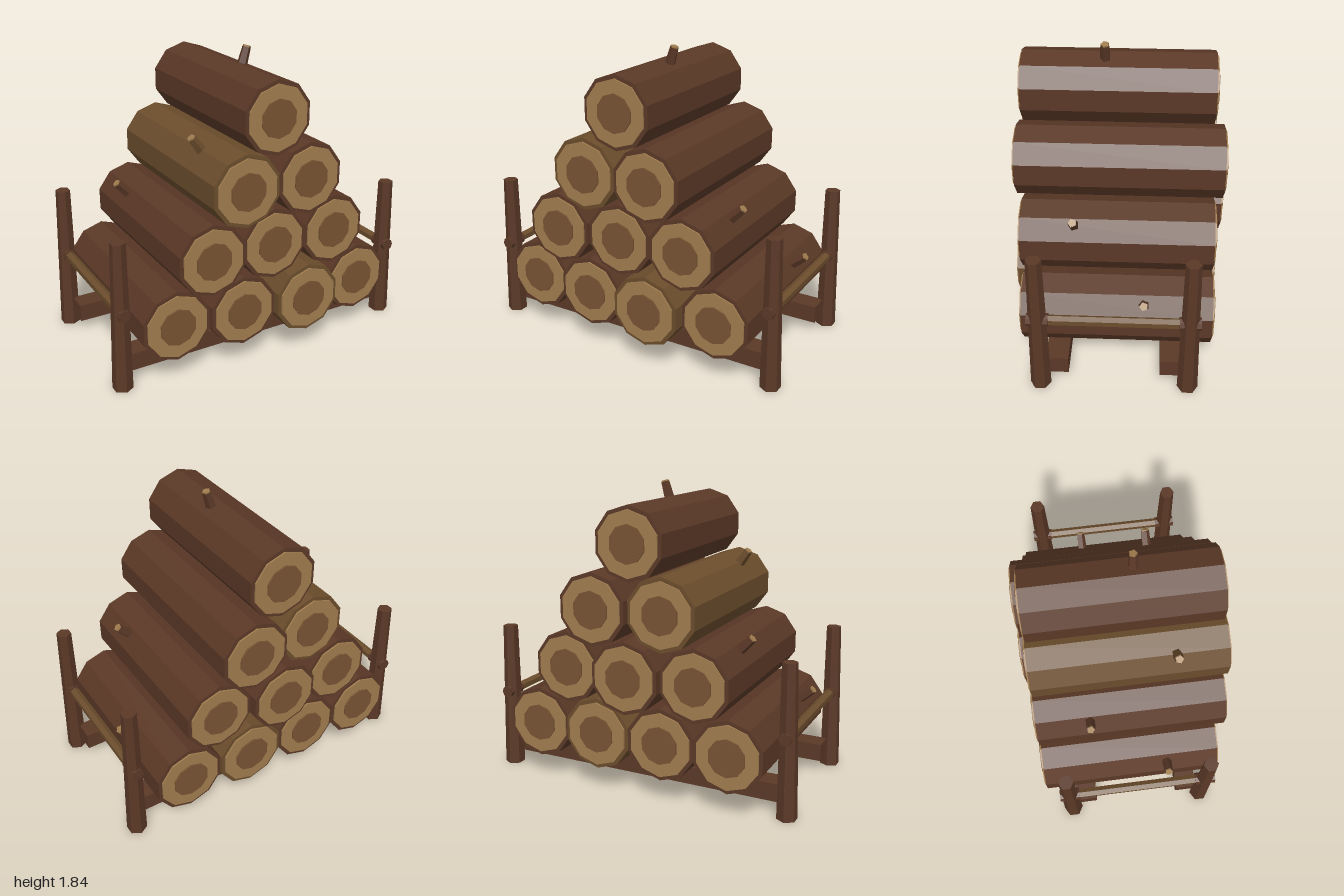
import * as THREE from 'three';

const mat = (name, color) => {
  const m = new THREE.MeshStandardMaterial({ color });
  m.name = name;
  return m;
};

export function createModel() {
  const bark = mat('dark bark', 0x5a3826);
  const paleBark = mat('pale bark', 0x6b4d2c);
  const cutWood = mat('cut wood', 0xa07c4e);
  const heartwood = mat('heartwood', 0x765332);

  // Faceted mesh with hard edges
  const part = (name, geo, material) => {
    const g = geo.toNonIndexed();
    g.computeVertexNormals();
    const mesh = new THREE.Mesh(g, material);
    mesh.name = name;
    return mesh;
  };
  // Prism lying along z between two depths
  const prismZ = (name, r, sides, z0, z1, material) => {
    const geo = new THREE.CylinderGeometry(r, r, z1 - z0, sides).rotateX(Math.PI / 2);
    geo.translate(0, 0, (z0 + z1) / 2);
    return part(name, geo, material);
  };

  const model = new THREE.Group();
  model.name = 'logPile';

  // Logs: x, y, back z, front z, bark, optional stub [direction x, direction y, z]
  const rows = [0.37, 0.757, 1.143, 1.53], s = 0.2115;
  const logs = [
    [-3 * s, rows[0], -0.59, 0.545, bark, [-0.25, 0.2, 0.21]],
    [-s, rows[0], -0.59, 0.58, bark],
    [s, rows[0], -0.595, 0.63, paleBark],
    [3 * s, rows[0], -0.575, 0.555, bark, [0.25, 0.2, -0.17]],
    [-2 * s, rows[1], -0.59, 0.595, bark, [-0.22, 0.225, -0.255]],
    [0, rows[1], -0.635, 0.57, bark],
    [2 * s, rows[1], -0.575, 0.57, bark, [0.23, 0.225, 0.25]],
    [-s, rows[2], -0.58, 0.61, paleBark, [-0.19, 0.26, 0.295]],
    [s, rows[2], -0.627, 0.61, bark],
    [0, rows[3], -0.565, 0.58, bark, [0.09, 0.3, 0.085]],
  ];
  for (const [x, y, z0, z1, material, stub] of logs) {
    const log = new THREE.Group();
    log.name = 'log';
    log.position.set(x, y, 0);
    log.add(prismZ('logBark', 0.222, 10, z0, z1, material));
    // Cut faces at both ends
    for (const [end, dir] of [[z0, -1], [z1, 1]]) {
      const plate = (name, r, from, to, m) =>
        log.add(prismZ(name, r, 10, Math.min(end + dir * from, end + dir * to), Math.max(end + dir * from, end + dir * to), m));
      plate('cutRing', 0.198, 0, 0.0099, cutWood);
      plate('heartwoodDisc', 0.116, 0.0099, 0.0195, heartwood);
    }
    // Broken branch stub with a pale tip
    if (stub) {
      const branch = new THREE.Group();
      branch.name = 'branchStub';
      branch.add(
        part('stubBark', new THREE.CylinderGeometry(0.027, 0.036, 0.16, 5).translate(0, 0.232, 0), material),
        part('stubTip', new THREE.CylinderGeometry(0.025, 0.025, 0.009, 5).translate(0, 0.3165, 0), cutWood));
      branch.position.z = stub[2];
      branch.rotation.z = Math.atan2(-stub[0], stub[1]);
      log.add(branch);
    }
    model.add(log);
  }

  // Cross beams under the pile
  for (const side of [-1, 1]) {
    const beam = part('crossBeam', new THREE.BoxGeometry(1.86, 0.11, 0.135), bark);
    beam.position.set(0, 0.125, side * 0.34);
    model.add(beam);
  }

  // Side frames: tapered stakes leaning inwards, a rail and its pegs
  for (const side of [-1, 1]) {
    const frame = new THREE.Group();
    frame.name = side > 0 ? 'leftFrame' : 'rightFrame';
    for (const z of [-0.44, 0.44]) {
      const geo = new THREE.CylinderGeometry(0.046, 0.062, 0.93, 6).translate(0, 0.465, 0);
      const p = geo.attributes.position;
      for (let i = 0; i < p.count; i++) p.setX(i, p.getX(i) + side * (0.946 - 0.014 * p.getY(i)));
      const stake = part('stake', geo, bark);
      stake.position.z = z;
      const peg = prismZ('railPeg', 0.038, 8, z - 0.063, z + 0.063, bark);
      peg.position.set(side * 0.937, 0.497, 0);
      frame.add(stake, peg);
    }
    const rail = prismZ('rail', 0.031, 6, -0.44, 0.44, paleBark);
    rail.position.set(side * 0.937, 0.497, 0);
    frame.add(rail);
    model.add(frame);
  }
  return model;
}
